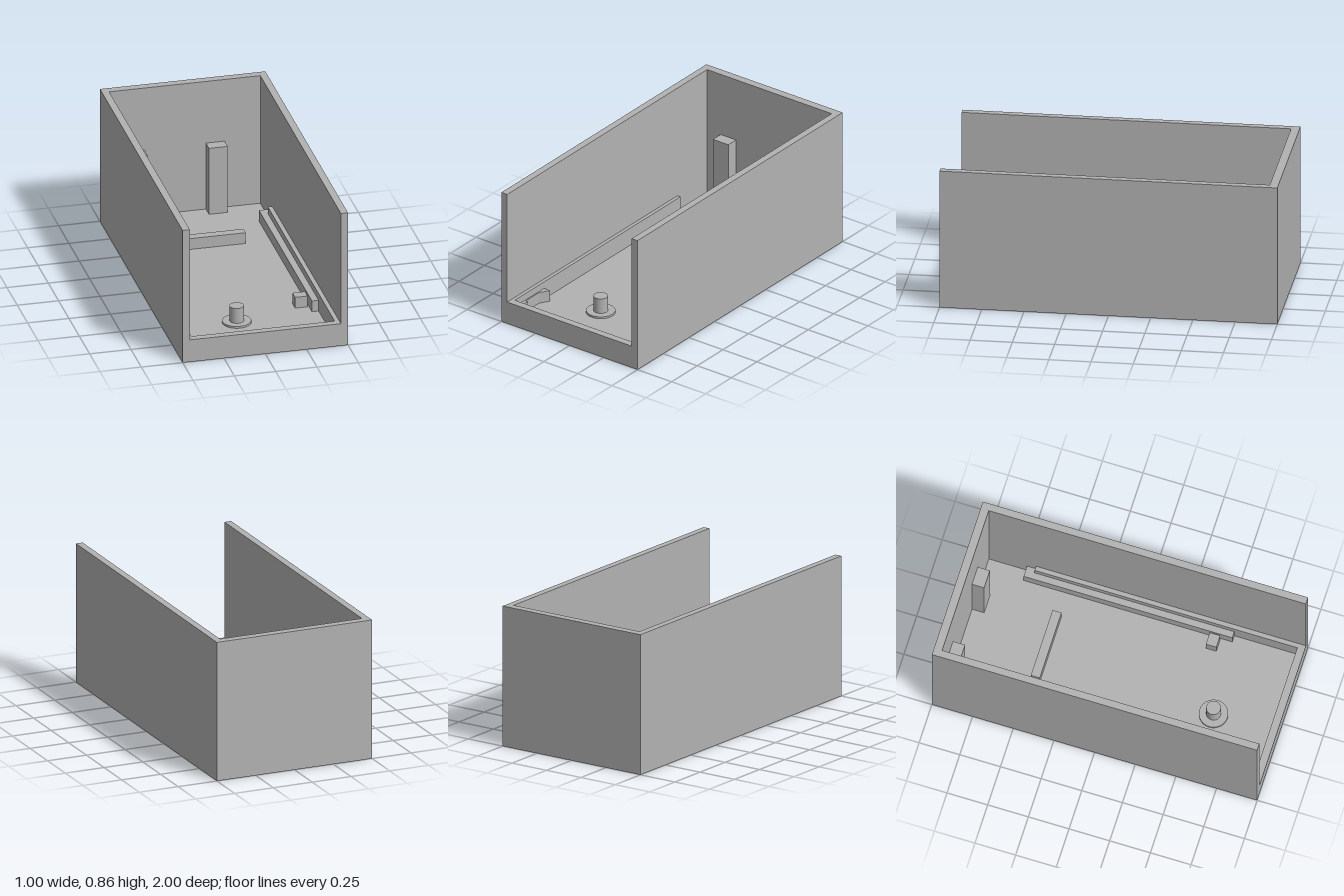
import * as THREE from 'three';

const FLOOR = 0.03, LIP = 0.143, TOP = 0.858;

export function createModel() {
  const group = new THREE.Group();
  const grey = new THREE.MeshStandardMaterial({ color: 0xb2b2b2 });
  grey.name = 'plain grey';

  const add = (name, geometry) => {
    const mesh = new THREE.Mesh(geometry, grey);
    mesh.name = name;
    group.add(mesh);
    return mesh;
  };

  // box given by its limits on each axis
  const block = (name, x0, x1, y0, y1, z0, z1) =>
    add(name, new THREE.BoxGeometry(x1 - x0, y1 - y0, z1 - z0))
      .position.set((x0 + x1) / 2, (y0 + y1) / 2, (z0 + z1) / 2);

  // plan outline of [x, z] points raised from y0 to y1
  const toPoints = (plan) => plan.map(([x, z]) => new THREE.Vector2(x, -z));
  const raise = (name, plan, y0, y1, hole) => {
    const shape = new THREE.Shape(toPoints(plan));
    if (hole) shape.holes.push(new THREE.Path(toPoints(hole)));
    const geometry = new THREE.ExtrudeGeometry(shape, { depth: y1 - y0, bevelEnabled: false });
    geometry.rotateX(-Math.PI / 2);
    geometry.translate(0, y0, 0);
    add(name, geometry);
  };

  // floor, stepped rim around the recess, and the three tall walls
  block('floor', -0.5, 0.5, 0, FLOOR, -1, 1);
  raise('lowerRim',
    [[-0.5, 1], [0.5, 1], [0.5, -1], [-0.5, -1]], FLOOR, LIP,
    [[-0.457, -0.95], [0.457, -0.95], [0.457, -0.66], [0.43, -0.66],
      [0.43, 0.955], [-0.435, 0.955], [-0.435, -0.66], [-0.457, -0.66]]);
  raise('walls',
    [[-0.5, 1], [-0.457, 1], [-0.457, -0.95], [0.457, -0.95],
      [0.457, 1], [0.5, 1], [0.5, -1], [-0.5, -1]], LIP, TOP);

  // square posts against the back wall
  for (const x of [-0.358, 0.128]) {
    block('backPost', x, x + 0.113, FLOOR, 0.458, -0.95, -0.875);
  }

  // low blocks on the floor
  block('crossRib', -0.187, 0.24, FLOOR, 0.1, -0.49, -0.435);
  block('sideStrip', 0.39, 0.457, FLOOR, 0.1, -0.715, 0.568);
  block('smallBlock', 0.306, 0.382, FLOOR, 0.1, 0.432, 0.496);

  // small clip on the inner side of the rim
  raise('clip',
    [[-0.435, 0.67], [-0.435, 0.94], [-0.412, 0.94], [-0.412, 0.86],
      [-0.427, 0.86], [-0.427, 0.73], [-0.39, 0.67]], FLOOR, 0.1);

  // round peg on a flange
  const peg = (name, radius, top) =>
    add(name, new THREE.CylinderGeometry(radius, radius, top - FLOOR, 48))
      .position.set(-0.073, (top + FLOOR) / 2, 0.598);
  peg('pegFlange', 0.086, 0.042);
  peg('peg', 0.043, 0.138);

  return group;
}
